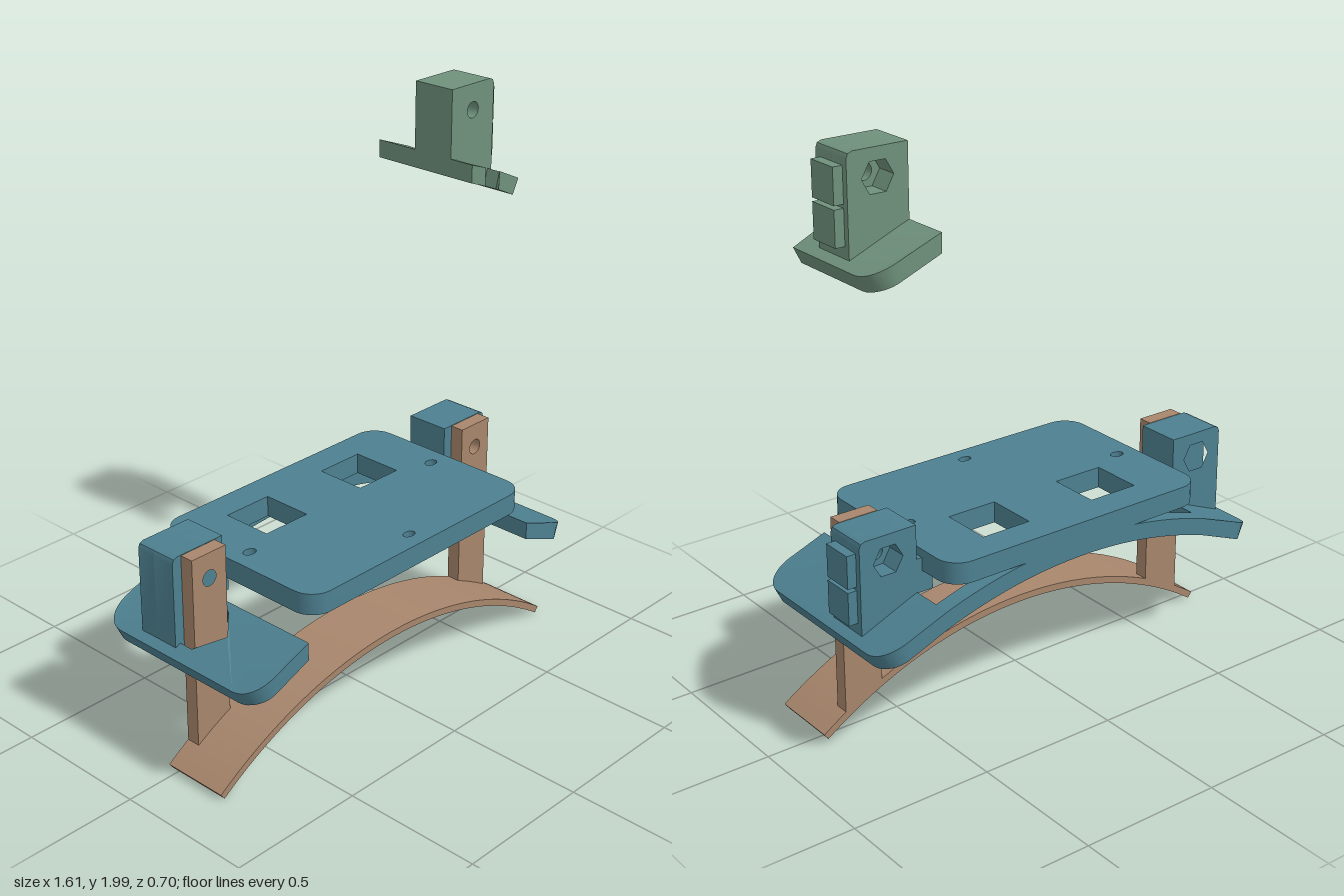
import * as THREE from 'three';
import { toCreasedNormals } from 'three/addons/utils/BufferGeometryUtils.js';

const BLUE = new THREE.MeshStandardMaterial({ color: 0x4d8090 });
const BROWN = new THREE.MeshStandardMaterial({ color: 0xa8866c });
const GREEN = new THREE.MeshStandardMaterial({ color: 0x6f917c });

const HOLE_X = 0.647, HOLE_Y = 0.68;
// Curved bracket: common centre height, inner and outer radius
const CY = -1.11, R_IN = 1.67, R_OUT = 1.73;

const arcY = (r, cy, x) => Math.sqrt(r * r - x * x) + cy;

// Points along a circle or corner arc
function arc(cx, cy, rx, ry, a0, a1, n) {
  return Array.from({ length: n + 1 }, (_, i) => {
    const a = a0 + (a1 - a0) * i / n;
    return [cx + rx * Math.cos(a), cy + ry * Math.sin(a)];
  });
}
const circle = (x, y, rx, ry, n) => arc(x, y, rx, ry, 0, Math.PI * 2, n).slice(0, n);
const rect = (x0, x1, y0, y1) => [[x0, y0], [x1, y0], [x1, y1], [x0, y1]];

function shapeOf(points, holes = [], s = 1) {
  const toV = p => new THREE.Vector2(p[0] * s, p[1]);
  const shape = new THREE.Shape(points.map(toV));
  shape.holes = holes.map(h => new THREE.Path(h.map(toV)));
  return shape;
}

function add(parent, name, geometry, material) {
  const mesh = new THREE.Mesh(toCreasedNormals(geometry, 0.5), material);
  mesh.name = name;
  parent.add(mesh);
  return mesh;
}

// Front outline pushed from z0 to z1
function slab(shape, z0, z1) {
  return new THREE.ExtrudeGeometry(shape, { depth: z1 - z0, bevelEnabled: false }).translate(0, 0, z0);
}

// Plan outline (x, -z) raised from y0 to y1
function plan(shape, y0, y1) {
  return new THREE.ExtrudeGeometry(shape, { depth: y1 - y0, bevelEnabled: false })
    .rotateX(-Math.PI / 2).translate(0, y0, 0);
}

// Outline of a strip bent along a circle
function archShape(cy, ri, ro, xi, xo, n) {
  const pts = [];
  for (let i = 0; i <= n; i++) {
    const x = xo * (2 * i / n - 1);
    pts.push([x, arcY(ro, cy, x)]);
  }
  for (let i = n; i >= 0; i--) {
    const x = xi * (2 * i / n - 1);
    pts.push([x, arcY(ri, cy, x)]);
  }
  return shapeOf(pts);
}

// Drop a flat wing onto the curved bracket; its outer end leans square to the curve
function bend(geometry) {
  const p = geometry.attributes.position;
  for (let i = 0; i < p.count; i++) {
    const x = p.getX(i), t = p.getY(i);
    const lean = THREE.MathUtils.smoothstep(Math.abs(x), 0.66, 0.773);
    const nx = x + Math.sign(x) * (t - 0.03) * 0.45 * lean;
    p.setXYZ(i, nx, arcY(R_IN + t, CY, nx), p.getZ(i));
  }
  geometry.computeVertexNormals();
  return geometry;
}

// Wing with a pointed slot for the post; the short one ends across the slot
function wing(s, short) {
  const slot = [[0.57, -0.02], [0.57, 0.033], [0.725, 0.033], [0.725, -0.02]];
  const back = arc(0.683, 0.265, 0.09, 0.09, 0, Math.PI / 2, 8);
  const shape = short
    ? shapeOf([[0.54, -0.06], [0.611, -0.06], ...slot, [0.683, -0.06], [0.773, -0.06],
      ...back, [0.54, 0.355]], [], s)
    : shapeOf([[0.54, -0.35], ...arc(0.683, -0.26, 0.09, 0.09, -Math.PI / 2, 0, 8),
      ...back, [0.54, 0.355]], [[...slot, [HOLE_X, -0.095]]], s);
  return bend(plan(shape, 0, R_OUT - R_IN));
}

// Upright block: round bolt hole at the front, hexagonal nut recess at the back
function block(parent, s, material) {
  const outline = [[0.54, 0.485], [0.753, 0.4], [0.753, 0.75], [0.747, 0.764],
    [0.733, 0.77], [0.54, 0.77]];
  const bolt = circle(HOLE_X, HOLE_Y, 0.028, 0.028, 24);
  const nut = circle(HOLE_X, HOLE_Y, 0.056, 0.056, 6);
  add(parent, 'blockFront', slab(shapeOf(outline, [bolt], s), -0.12, -0.033), material);
  add(parent, 'blockBack', slab(shapeOf(outline, [nut], s), -0.193, -0.12), material);
}

// Plain raised pads on the outer face of a block
function pads(parent, material) {
  for (const y of [0.543, 0.67]) {
    const pad = add(parent, 'raisedPad', new THREE.BoxGeometry(0.04, 0.115, 0.115), material);
    pad.position.set(0.766, y, -0.115);
  }
}

export function createModel() {
  const model = new THREE.Group();

  // Curved base strap with two drilled posts
  const base = new THREE.Group();
  base.name = 'base';
  model.add(base);
  add(base, 'baseStrap', slab(archShape(-1.14, 1.395, 1.42, 0.79, 0.805, 48), -0.03, 0.215), BROWN);

  // Bracket: flat plate, rear arch and two wings with blocks
  const bracket = new THREE.Group();
  bracket.name = 'bracket';
  model.add(bracket);
  const q = Math.PI / 2;
  const plateOutline = [
    ...arc(0.44, 0.275, 0.08, 0.08, 0, q, 8), ...arc(-0.44, 0.275, 0.08, 0.08, q, 2 * q, 8),
    ...arc(-0.44, -0.27, 0.08, 0.08, 2 * q, 3 * q, 8), ...arc(0.44, -0.27, 0.08, 0.08, 3 * q, 4 * q, 8)];
  const plateHoles = [
    rect(-0.32, -0.133, 0.057, 0.243), rect(0.13, 0.315, 0.057, 0.243),
    circle(-0.443, 0.01, 0.025, 0.018, 20), circle(0.443, 0.01, 0.025, 0.018, 20),
    circle(0, -0.283, 0.024, 0.016, 20)];
  add(bracket, 'topPlate', plan(shapeOf(plateOutline, plateHoles), 0.605, 0.68), BLUE);
  add(bracket, 'rearArch', slab(archShape(CY, R_IN, R_OUT, 0.541, 0.541, 40), -0.355, -0.295), BLUE);

  for (const s of [1, -1]) {
    const side = s > 0 ? 'left' : 'right';
    const post = shapeOf([[0.575, 0.15], [0.719, 0.075], [0.719, 0.77], [0.575, 0.77]],
      [circle(HOLE_X, HOLE_Y, 0.028, 0.028, 24)], s);
    add(base, side + 'Post', slab(post, -0.03, 0.02), BROWN);

    add(bracket, side + 'Wing', wing(s, false), BLUE);
    const neck = shapeOf([[0.48, 0.53], [0.545, 0.53], [0.545, 0.65], [0.48, 0.65]], [], s);
    add(bracket, side + 'Neck', slab(neck, -0.193, -0.075), BLUE);
    const blockGroup = new THREE.Group();
    blockGroup.name = side + 'Block';
    bracket.add(blockGroup);
    block(blockGroup, s, BLUE);
    if (s > 0) pads(blockGroup, BLUE);
  }

  // Separate sample piece floating above the left block
  const sample = new THREE.Group();
  sample.name = 'samplePiece';
  sample.position.y = 1.23;
  add(sample, 'sampleWing', wing(1, true), GREEN);
  block(sample, 1, GREEN);
  pads(sample, GREEN);
  model.add(sample);

  return model;
}
